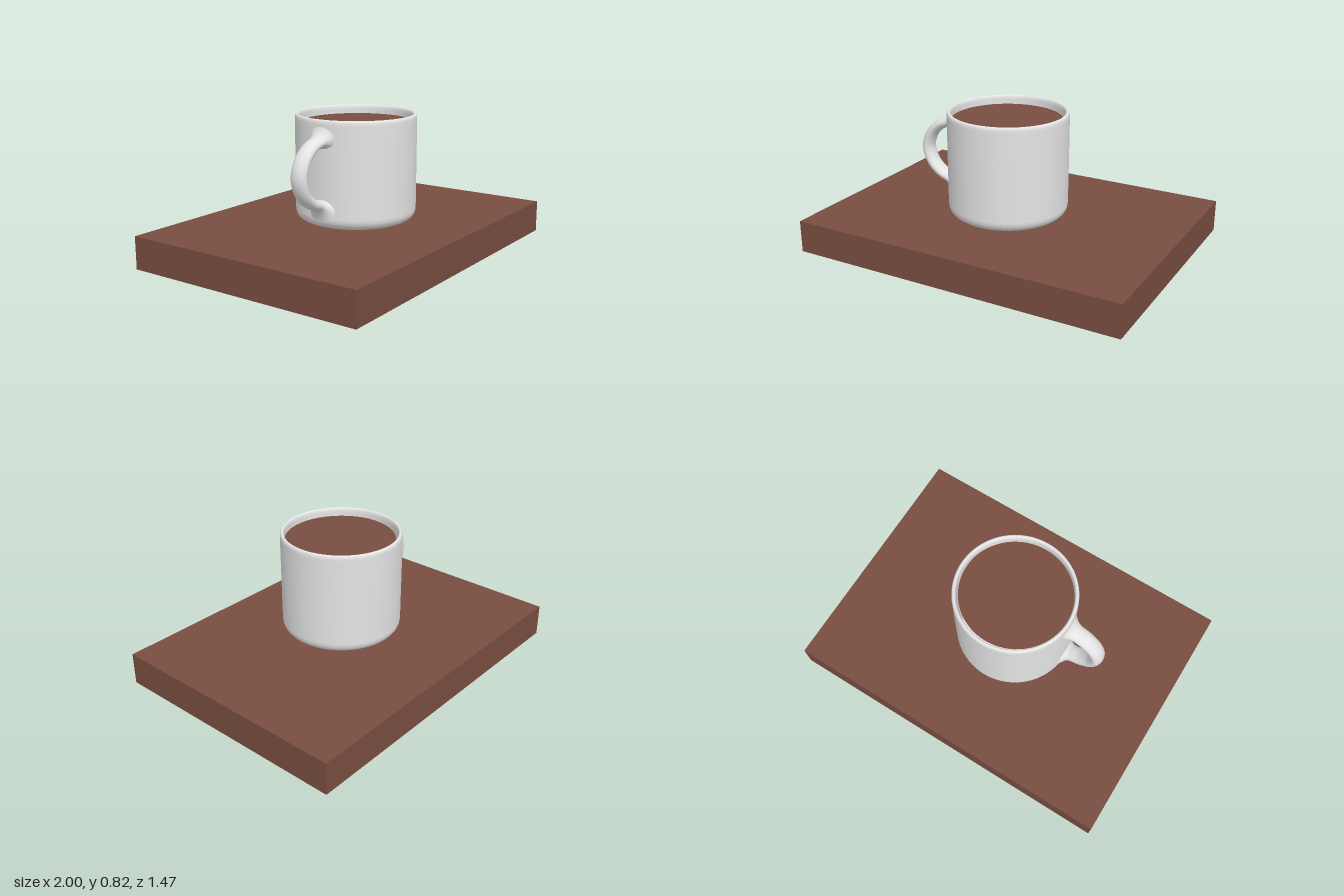
import * as THREE from 'three';

const CX = -0.012, CZ = 0.043;

// Elliptical sweep in the xy plane; half height and half width vary along the path
function sweep(curve, size, rings, sides) {
  const pos = [], idx = [];
  for (let i = 0; i <= rings; i++) {
    const t = i / rings, p = curve.getPointAt(t), d = curve.getTangentAt(t);
    const [h, w] = size(p, t);
    for (let j = 0; j < sides; j++) {
      const a = (j / sides) * Math.PI * 2, u = h * Math.cos(a);
      pos.push(p.x - d.y * u, p.y + d.x * u, p.z + w * Math.sin(a));
      if (i < rings) {
        const k = i * sides + j, n = i * sides + (j + 1) % sides;
        idx.push(k, k + sides, n, n, k + sides, n + sides);
      }
    }
  }
  const g = new THREE.BufferGeometry();
  g.setAttribute('position', new THREE.Float32BufferAttribute(pos, 3));
  g.setIndex(idx);
  g.computeVertexNormals();
  return g;
}

export function createModel() {
  const brown = new THREE.MeshStandardMaterial({ color: 0x784d40 });
  brown.name = 'brown';
  const white = new THREE.MeshStandardMaterial({ color: 0xe4e4e4, side: THREE.DoubleSide });
  white.name = 'glazed white';

  const model = new THREE.Group();
  const add = (name, geometry, material, x, y, z) => {
    const m = new THREE.Mesh(geometry, material);
    m.name = name;
    m.position.set(x, y, z);
    model.add(m);
    return m;
  };

  // Board
  add('board', new THREE.BoxGeometry(2, 0.19, 1.474), brown, 0, 0.095, 0);

  // Cup: rounded foot, straight wall, rounded lip and hollow inside
  const path = new THREE.Path();
  path.moveTo(0, 0.195);
  path.lineTo(0.21, 0.196);
  path.bezierCurveTo(0.30, 0.2, 0.348, 0.215, 0.348, 0.275);
  path.lineTo(0.348, 0.79);
  path.bezierCurveTo(0.348, 0.81, 0.344, 0.82, 0.335, 0.82);
  path.bezierCurveTo(0.327, 0.82, 0.323, 0.81, 0.323, 0.79);
  path.lineTo(0.323, 0.29);
  path.bezierCurveTo(0.323, 0.24, 0.29, 0.225, 0.25, 0.225);
  path.lineTo(0, 0.225);
  add('cup', new THREE.LatheGeometry(path.getPoints(8), 72), white, CX, 0, CZ);

  // Drink surface, sitting slightly forward
  const drink = add('drink', new THREE.CircleGeometry(0.32, 72), brown, CX, 0.77, 0.055);
  drink.rotation.x = -Math.PI / 2;

  // Handle: oval loop that flares where it meets the wall
  const loop = new THREE.CatmullRomCurve3([
    [-0.345, 0.712], [-0.40, 0.70], [-0.46, 0.677], [-0.523, 0.618], [-0.552, 0.53],
    [-0.523, 0.437], [-0.46, 0.378], [-0.40, 0.352], [-0.345, 0.325],
  ].map(([x, y]) => new THREE.Vector3(x, y, 0)));
  const flare = (p) => Math.pow(Math.max(0, (p.x + 0.41) / 0.065), 2);
  const size = (p) => [0.029 + 0.004 * Math.min(1, (-0.345 - p.x) / 0.2) + 0.043 * flare(p), 0.05 + 0.035 * flare(p)];
  add('handle', sweep(loop, size, 64, 24), white, 0, 0, 0.055);

  return model;
}
